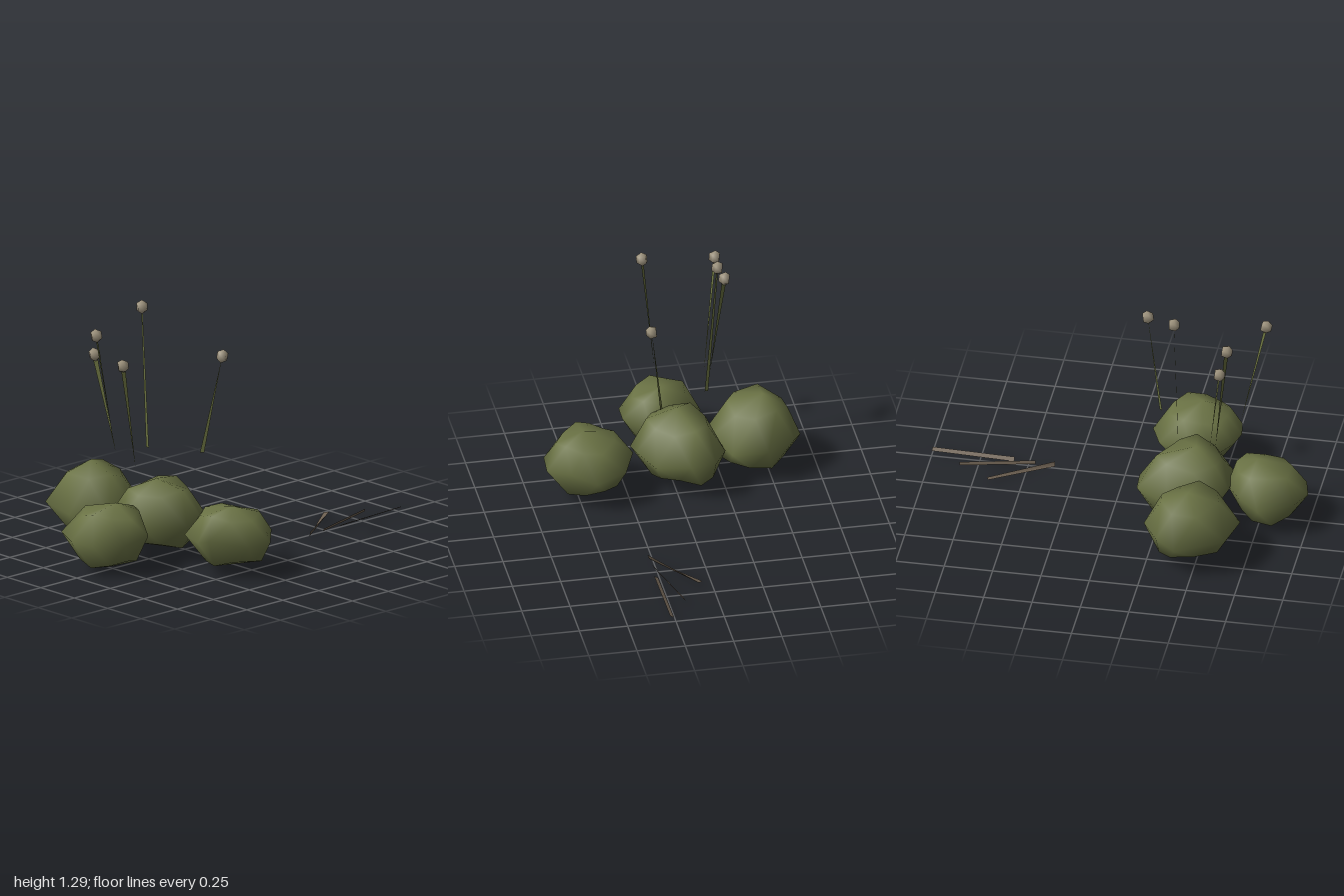
import * as THREE from 'three';

const V = (x, y, z) => new THREE.Vector3(x, y, z);

function meshFrom(points, faces, material, name) {
  const g = new THREE.BufferGeometry();
  g.setFromPoints(points);
  g.setIndex(faces);
  g.computeVertexNormals();
  const mesh = new THREE.Mesh(g, material);
  mesh.name = name;
  return mesh;
}

// Faceted boulder-like bush: plan outline at mid height, a narrower ring above and below, two poles
function bush(outline, midY, top, bottom, material, name) {
  const n = outline.length;
  const cx = outline.reduce((s, p) => s + p[0], 0) / n;
  const cz = outline.reduce((s, p) => s + p[1], 0) / n;
  const points = outline.map(([x, z], i) => V(x, midY + 0.02 * Math.sin(i * 2.3), z));
  for (const pole of [top, bottom]) {
    const ox = cx + (pole[0] - cx) * 0.4, oz = cz + (pole[2] - cz) * 0.4;
    for (let i = 0; i < n; i++) {
      const a = outline[i], b = outline[(i + 1) % n];
      const rise = 0.74 + 0.1 * Math.sin(i * 1.9 + cx * 9);
      points.push(V(
        ox + ((a[0] + b[0]) / 2 - cx) * 0.7,
        midY + (pole[1] - midY) * rise,
        oz + ((a[1] + b[1]) / 2 - cz) * 0.7));
    }
  }
  points.push(V(...top), V(...bottom));
  const faces = [], tp = 3 * n, bp = tp + 1;
  for (let i = 0; i < n; i++) {
    const j = (i + 1) % n, u = n + i, uj = n + j, d = 2 * n + i, dj = 2 * n + j;
    faces.push(j, i, u, j, u, uj, tp, uj, u);
    faces.push(i, j, d, dj, d, j, bp, d, dj);
  }
  return meshFrom(points, faces, material, name);
}

// Thin blade between two points, with its own width vector at each end
function blade(p0, w0, p1, w1, material, name) {
  const a = V(...p0), b = V(...p1), wa = V(...w0).multiplyScalar(0.5), wb = V(...w1).multiplyScalar(0.5);
  return meshFrom(
    [a.clone().sub(wa), a.clone().add(wa), b.clone().add(wb), b.clone().sub(wb)],
    [0, 1, 2, 0, 2, 3], material, name);
}

export function createModel() {
  const group = new THREE.Group();
  const mat = (name, color, side = THREE.FrontSide) => {
    const m = new THREE.MeshStandardMaterial({ color, side });
    m.name = name;
    return m;
  };
  const green = mat('mossGreen', 0x6b7345);
  const stemGreen = mat('stemGreen', 0x69703f, THREE.DoubleSide);
  const tan = mat('seedTan', 0xa0957f);
  const brown = mat('twigBrown', 0x6e6152, THREE.DoubleSide);

  // Clump of four bushes
  group.add(
    bush([[-0.6, -0.1], [-0.55, -0.22], [-0.31, -0.26], [-0.14, -0.18], [-0.13, -0.05], [-0.2, 0.12],
      [-0.32, 0.2], [-0.43, 0.21], [-0.61, 0.07]], 0.21, [-0.42, 0.41, -0.03], [-0.36, 0.03, -0.09], green, 'middleBush'),
    bush([[-0.71, -0.37], [-0.67, -0.59], [-0.42, -0.67], [-0.32, -0.62], [-0.23, -0.47], [-0.27, -0.29],
      [-0.42, -0.21], [-0.57, -0.22]], 0.2, [-0.46, 0.42, -0.48], [-0.42, 0.03, -0.41], green, 'backBush'),
    bush([[-1, -0.04], [-0.95, -0.17], [-0.77, -0.22], [-0.66, -0.15], [-0.58, -0.03], [-0.58, 0.07],
      [-0.69, 0.2], [-0.84, 0.19], [-0.97, 0.09]], 0.19, [-0.73, 0.35, 0], [-0.76, 0.015, -0.01], green, 'rightBush'),
    bush([[-0.57, 0.44], [-0.55, 0.32], [-0.46, 0.24], [-0.35, 0.21], [-0.17, 0.28], [-0.11, 0.44],
      [-0.17, 0.56], [-0.28, 0.67], [-0.42, 0.66], [-0.56, 0.51]], 0.2, [-0.36, 0.36, 0.47], [-0.31, 0.04, 0.45], green, 'frontBush'));

  // Floating stems: base, base width, tip, tip width
  const none = [0, 0, 0];
  const stems = [
    [[-0.635, 0.53, 0.045], none, [-0.76, 1.1, 0.085], [0.016, 0, 0.016]],
    [[-0.55, 0.53, -0.195], none, [-0.62, 1.155, -0.265], [0.02, 0, -0.01]],
    [[-0.525, 0.53, -0.22], none, [-0.59, 1.04, -0.31], [0.012, 0, 0.026]],
    [[-0.352, 0.53, -0.17], [0.002, 0, 0.018], [-0.34, 1.26, -0.225], [0.001, 0, 0.008]],
    [[-0.215, 0.53, 0.09], [0.016, 0, 0.014], [-0.135, 1.04, 0.155], none],
  ];
  const headGeometry = new THREE.SphereGeometry(0.034, 5, 3);
  stems.forEach(([p0, w0, p1, w1], i) => {
    group.add(blade(p0, w0, p1, w1, stemGreen, 'stem' + (i + 1)));
    // Seed head leaning with its stem
    const head = new THREE.Mesh(headGeometry, tan);
    head.name = 'seedHead' + (i + 1);
    head.position.set(...p1);
    head.quaternion.setFromUnitVectors(V(0, 1, 0), V(...p1).sub(V(...p0)).normalize());
    head.rotateY(i * 1.3);
    head.scale.y = 1.08;
    group.add(head);
  });

  // Fallen twigs lying on the ground
  group.add(
    blade([0.365, 0.018, 0.27], [0, 0.025, 0.008], [0.675, 0.027, 0.06], [0.012, 0, 0.022], brown, 'twig1'),
    blade([0.465, 0.02, 0.265], [0, 0.016, 0.008], [0.84, 0.028, 0.17], [0, 0.016, 0.006], brown, 'twig2'),
    blade([0.575, 0.022, 0.27], [0, 0.014, 0.022], [1, 0.035, 0.27], [0, 0.012, 0.02], brown, 'twig3'));

  // Stand exactly on the ground
  const box = new THREE.Box3().setFromObject(group, true);
  group.children.forEach((m) => { m.position.y -= box.min.y; });
  return group;
}
